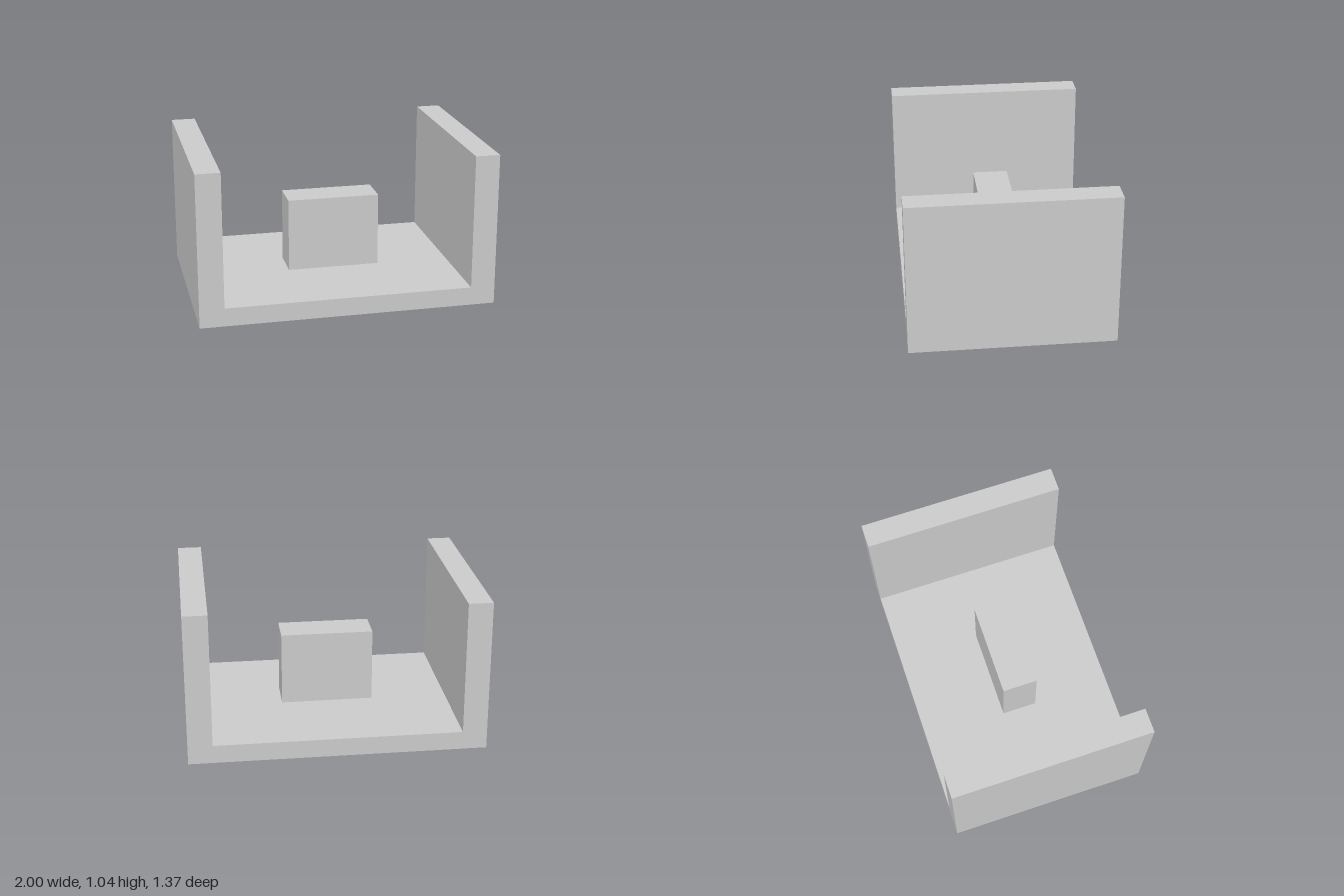
import * as THREE from 'three';

const HALF_WIDTH = 1, INNER = 0.835, HEIGHT = 1.042, FLOOR = 0.125, DEPTH = 1.366;

export function createModel() {
  const model = new THREE.Group();
  const material = new THREE.MeshStandardMaterial({ color: 0xcccccc, flatShading: true });

  // U-shaped channel: floor and two side walls in one solid piece
  const profile = new THREE.Shape([
    [-HALF_WIDTH, 0], [HALF_WIDTH, 0], [HALF_WIDTH, HEIGHT], [INNER, HEIGHT],
    [INNER, FLOOR], [-INNER, FLOOR], [-INNER, HEIGHT], [-HALF_WIDTH, HEIGHT],
  ].map(([x, y]) => new THREE.Vector2(x, y)));
  const channelGeometry = new THREE.ExtrudeGeometry(profile, { depth: DEPTH, bevelEnabled: false });
  channelGeometry.translate(0, 0, -DEPTH / 2);
  const channel = new THREE.Mesh(channelGeometry, material);
  channel.name = 'channel';
  model.add(channel);

  // Block hovering just above the floor, slightly off centre
  const block = new THREE.Mesh(new THREE.BoxGeometry(0.632, 0.505, 0.24), material);
  block.name = 'block';
  block.position.set(0.01, 0.391, 0.016);
  model.add(block);

  return model;
}
